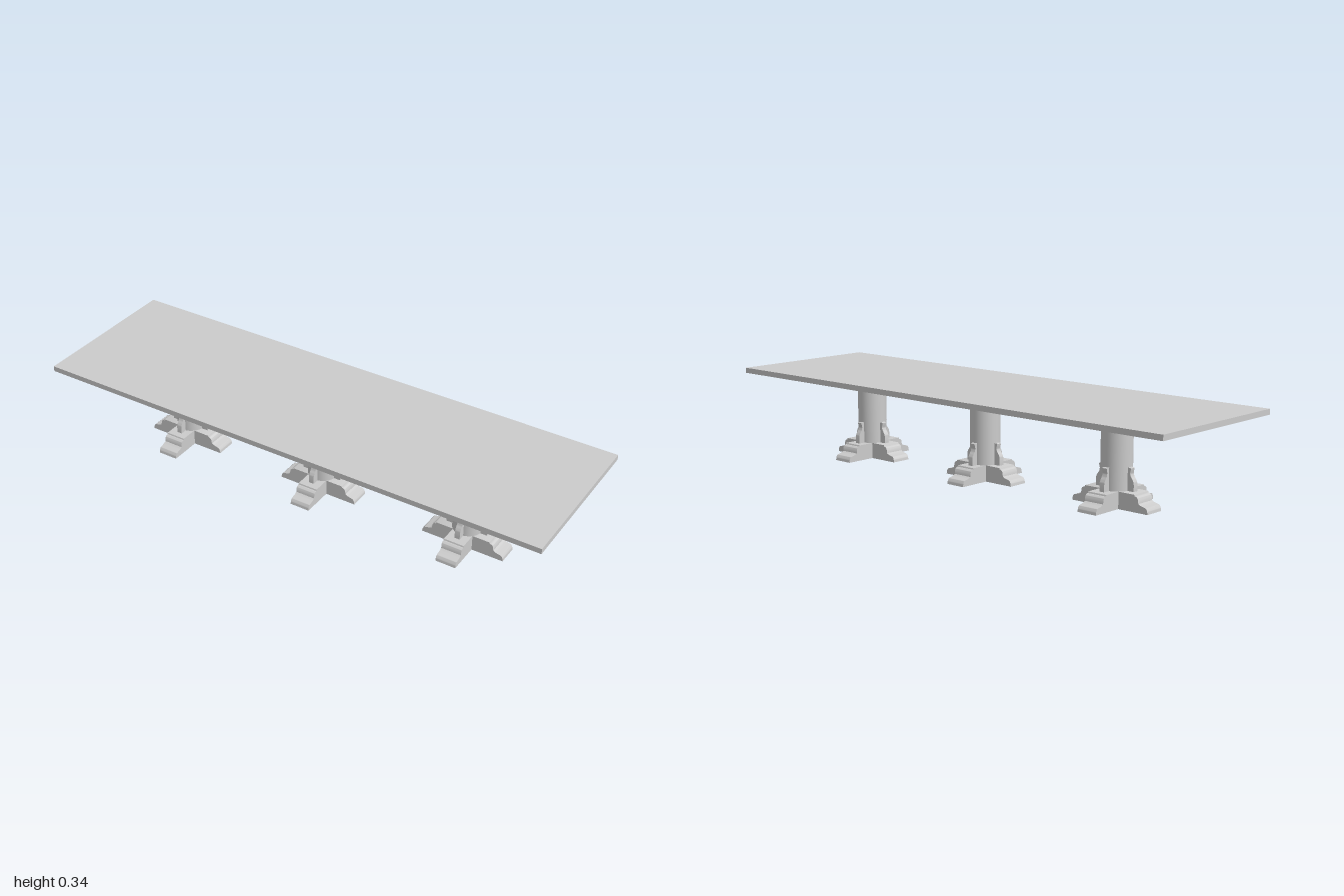
import * as THREE from 'three';
import { toCreasedNormals } from 'three/addons/utils/BufferGeometryUtils.js';

const material = new THREE.MeshStandardMaterial({ color: 0xcccccc });

function part(name, geometry, parent) {
  const mesh = new THREE.Mesh(geometry, material);
  mesh.name = name;
  parent.add(mesh);
  return mesh;
}

// Extrudes an upright profile to a width centred on z = 0
function slab(shape, width) {
  const g = new THREE.ExtrudeGeometry(shape, { depth: width, bevelEnabled: false, curveSegments: 8 });
  g.translate(0, 0, -width / 2);
  return toCreasedNormals(g, 0.6);
}

// Moulded foot profile, mirrored about x = 0
function footShape() {
  const half = new THREE.Path();
  half.moveTo(0.159, 0);
  half.bezierCurveTo(0.158, 0.012, 0.155, 0.021, 0.147, 0.022);
  half.bezierCurveTo(0.138, 0.024, 0.13, 0.025, 0.121, 0.031);
  half.lineTo(0.119, 0.045);
  half.quadraticCurveTo(0.117, 0.053, 0.106, 0.055);
  half.lineTo(0.104, 0.06);
  const right = half.getPoints(8);
  const left = right.map(p => new THREE.Vector2(-p.x, p.y)).reverse();
  return new THREE.Shape([...right, ...left]);
}

// Scrolled bracket profile, with its inner edge buried in the column
function bracketShape() {
  const s = new THREE.Shape();
  s.moveTo(0.045, 0.06);
  s.lineTo(0.08, 0.06);
  s.lineTo(0.08, 0.082);
  s.bezierCurveTo(0.08, 0.102, 0.064, 0.105, 0.064, 0.122);
  s.bezierCurveTo(0.064, 0.129, 0.068, 0.131, 0.067, 0.138);
  s.lineTo(0.065, 0.14);
  s.lineTo(0.045, 0.14);
  s.closePath();
  return s;
}

export function createModel() {
  const model = new THREE.Group();
  model.name = 'longTable';

  part('tableTop', new THREE.BoxGeometry(2, 0.02, 0.6), model).position.y = 0.33;

  const foot = slab(footShape(), 0.077);
  const bracket = slab(bracketShape(), 0.02);
  const column = new THREE.CylinderGeometry(0.055, 0.055, 0.27, 40);

  for (const x of [-0.6, 0, 0.6]) {
    const pedestal = new THREE.Group();
    pedestal.name = 'pedestal';
    pedestal.position.x = x;
    model.add(pedestal);

    part('column', column, pedestal).position.y = 0.187;

    // Two crossing feet
    for (let i = 0; i < 2; i++) part('foot', foot, pedestal).rotation.y = i * Math.PI / 2;

    // Four brackets around the column
    for (let i = 0; i < 4; i++) part('bracket', bracket, pedestal).rotation.y = i * Math.PI / 2;
  }
  return model;
}
